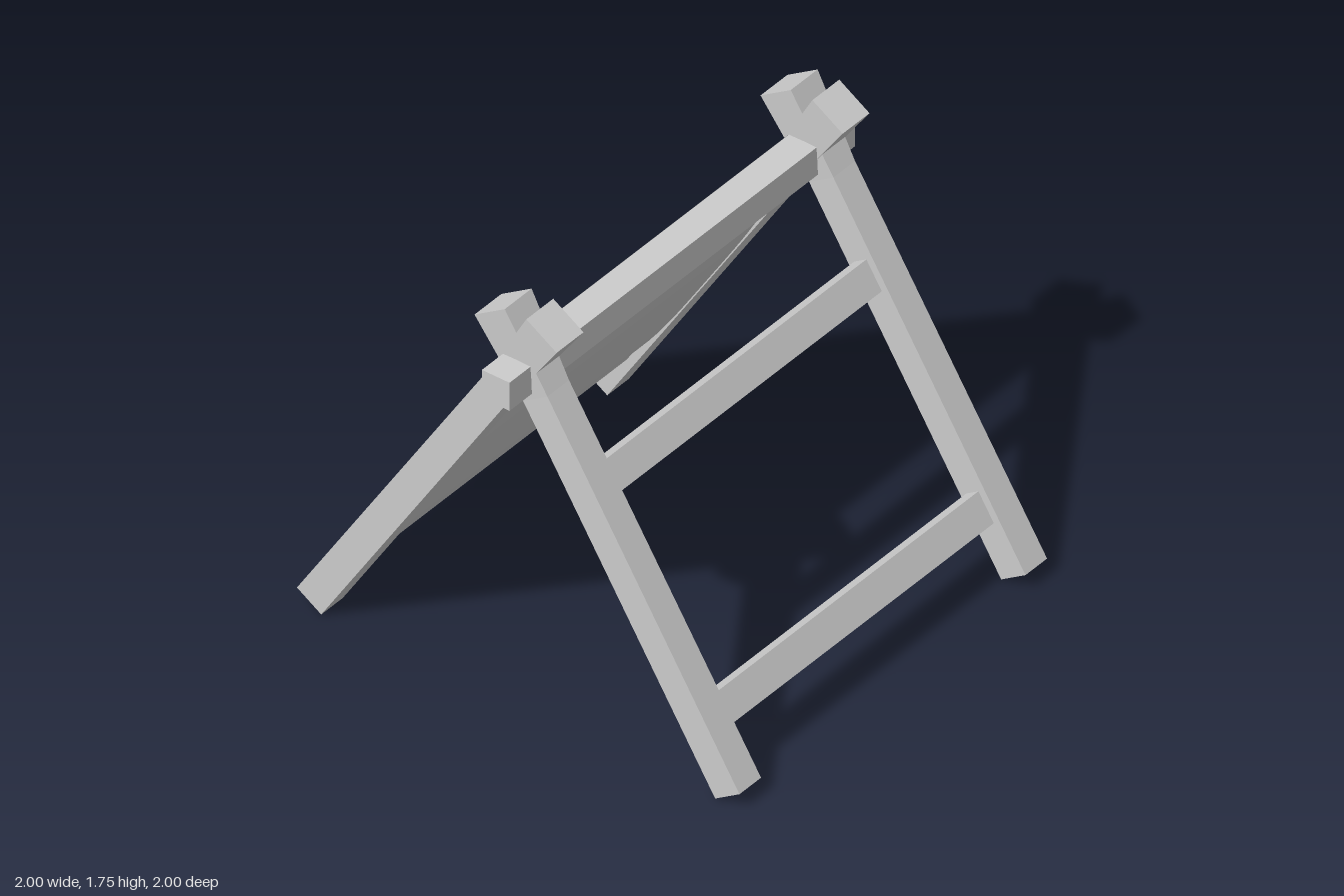
import * as THREE from 'three';

const FRONT_Z = 0.8075, BACK_Z = -0.8475;      // leg frame planes
const FOOT = new THREE.Vector2(-0.945, 0.0352); // centre of the foot end
const LEAN = Math.atan2(1.675, 1.0625);         // leg angle above the ground
const LEG_LENGTH = 1.983, LEG_W = 0.13, LEG_D = 0.125;
const INNER_Z = [BACK_Z + LEG_D / 2, FRONT_Z - LEG_D / 2];
const SPAN = INNER_Z[1] - INNER_Z[0], MID_Z = (INNER_Z[0] + INNER_Z[1]) / 2;

const wood = new THREE.MeshStandardMaterial({ color: 0xcccccc, flatShading: true });
const cloth = new THREE.MeshStandardMaterial({ color: 0xcccccc, side: THREE.DoubleSide });

function add(parent, name, geometry, material, x = 0, y = 0, z = 0) {
  const mesh = new THREE.Mesh(geometry, material);
  mesh.name = name;
  mesh.position.set(x, y, z);
  parent.add(mesh);
  return mesh;
}

// Straight square leg that flares towards its top end; foot at y = 0
function legGeometry() {
  const flareStart = 1.62, flare = 1.245;
  const g = new THREE.BoxGeometry(LEG_W, LEG_LENGTH, LEG_D, 1, 2, 1);
  const p = g.attributes.position;
  for (let i = 0; i < p.count; i++) {
    const level = Math.round(p.getY(i) / (LEG_LENGTH / 2)) + 1;
    p.setY(i, [0, flareStart, LEG_LENGTH][level]);
    if (level === 2) {
      p.setX(i, p.getX(i) * flare);
      p.setZ(i, p.getZ(i) * flare);
    }
  }
  g.computeVertexNormals();
  return g;
}

// Cloth hung in the plane of the leg, bowed inwards between its two ends
function clothGeometry() {
  const half = 0.87;
  const g = new THREE.PlaneGeometry(SPAN, 2 * half, 1, 32);
  const p = g.attributes.position;
  for (let i = 0; i < p.count; i++) {
    const z = p.getX(i), along = p.getY(i);
    const bow = 0.06 - 0.125 * Math.pow(along / half, 4);
    p.setXYZ(i, bow, along + half, z);
  }
  g.computeVertexNormals();
  return g;
}

export function createModel() {
  const model = new THREE.Group();
  model.name = 'foldingFrame';

  const leg = legGeometry();
  const rung = new THREE.BoxGeometry(0.065, 0.13, SPAN);

  // Two leaning ladder-like sides, crossing at the top
  for (const side of [1, -1]) {
    const frame = new THREE.Group();
    frame.name = side > 0 ? 'leftFrame' : 'rightFrame';
    frame.position.set(-side * FOOT.x, FOOT.y, 0);
    frame.rotation.z = side * (Math.PI / 2 - LEAN);

    add(frame, 'frontLeg', leg, wood, 0, 0, FRONT_Z);
    add(frame, 'backLeg', leg, wood, 0, 0, BACK_Z);
    add(frame, 'lowerRung', rung, wood, 0, 0.281, MID_Z);
    add(frame, 'upperRung', rung, wood, 0, 1.226, MID_Z);

    // Cloth on one side only, from the ridge to the feet
    if (side < 0) add(frame, 'clothPanel', clothGeometry(), cloth, 0, 0, MID_Z);
    model.add(frame);
  }

  // Ridge beam resting in the crossing
  add(model, 'ridgeBeam', new THREE.BoxGeometry(0.125, 0.125, 2), wood, 0, 1.482, 0);

  return model;
}
